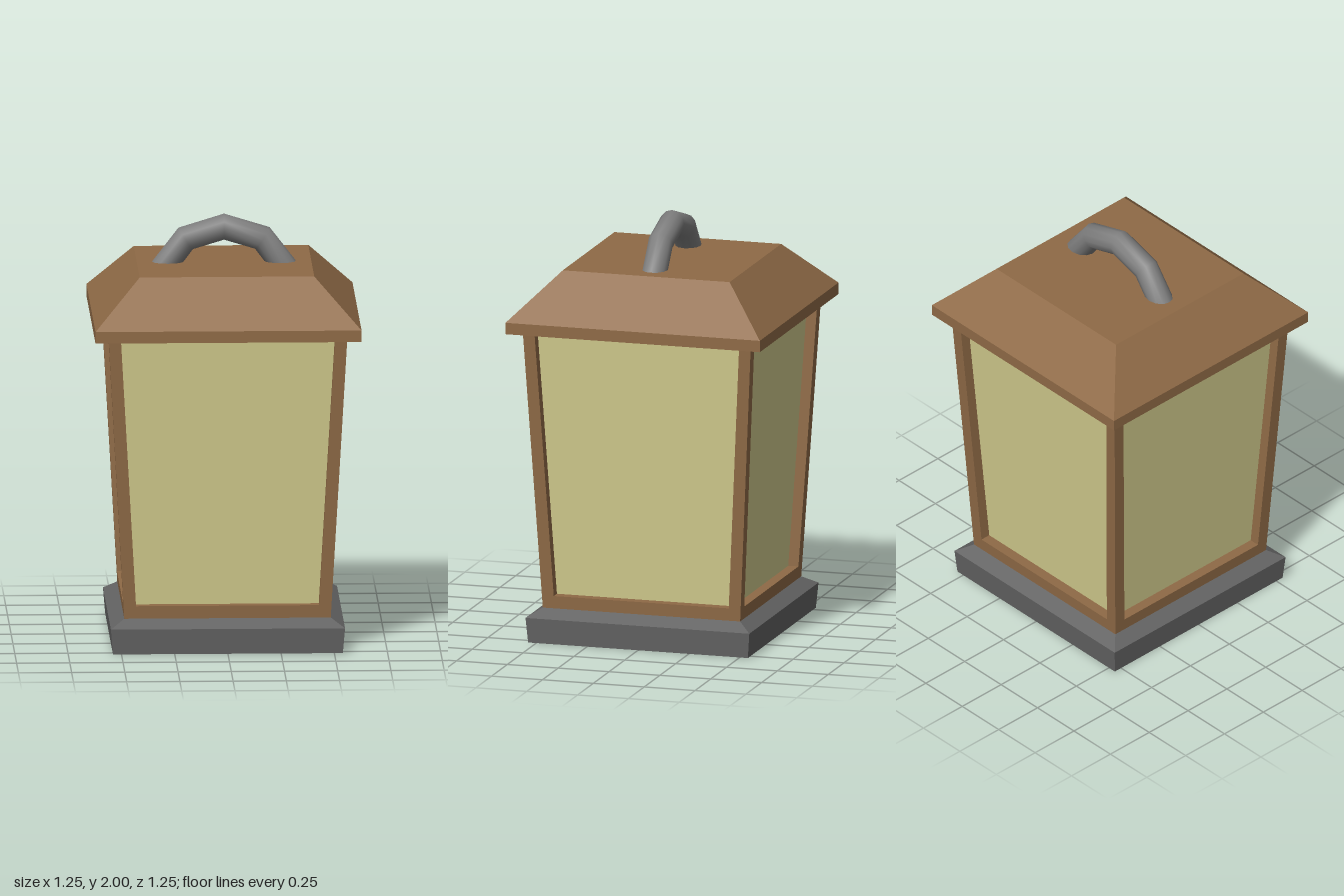
import * as THREE from 'three';
import { mergeVertices } from 'three/addons/utils/BufferGeometryUtils.js';

const mat = (name, color) => {
  const m = new THREE.MeshStandardMaterial({ color });
  m.name = name;
  return m;
};

const mesh = (name, geometry, material) => {
  const m = new THREE.Mesh(geometry, material);
  m.name = name;
  return m;
};

// Square solid with flat faces; profile is [half width, y] from the bottom up
function squareSolid(profile) {
  const points = profile.map(([w, y]) => new THREE.Vector2(w * Math.SQRT2, y));
  const g = new THREE.LatheGeometry(points, 4, Math.PI / 4).toNonIndexed();
  g.computeVertexNormals();
  return g;
}

// Flat-shaded quads, corners counter-clockwise
function quads(list) {
  const pos = list.flatMap(([a, b, c, d]) => [a, b, c, a, c, d].flat());
  const g = new THREE.BufferGeometry();
  g.setAttribute('position', new THREE.Float32BufferAttribute(pos, 3));
  g.computeVertexNormals();
  return g;
}

// Jointed round bar arching over the roof
function handleGeometry(radius) {
  // x, y, then the outward mitre direction at each joint
  const joints = [
    [-0.29, 1.74, -0.79, 0.61],
    [-0.18, 1.885, -0.57, 0.86],
    [0, 1.94, 0, 1.04],
    [0.18, 1.885, 0.57, 0.86],
    [0.29, 1.74, 0.79, 0.61],
  ];
  const g = new THREE.CylinderGeometry(radius, radius, 1, 12, 4, true);
  const p = g.attributes.position;
  for (let i = 0; i < p.count; i++) {
    const [x, y, nx, ny] = joints[Math.round((0.5 - p.getY(i)) * 4)];
    const out = p.getX(i);
    p.setXYZ(i, x + nx * out, y + ny * out, p.getZ(i));
  }
  g.deleteAttribute('uv');
  g.deleteAttribute('normal');
  const merged = mergeVertices(g);
  merged.computeVertexNormals();
  return merged;
}

export function createModel() {
  const wood = mat('brown wood', 0x8f6a46);
  const glass = mat('pale yellow glass', 0xd0ca8c);
  const stone = mat('dark grey base', 0x636363);
  const metal = mat('grey metal', 0x7e7e7e);

  const model = new THREE.Group();
  model.name = 'lantern';

  // Base plinth with bevelled top
  model.add(mesh('base', squareSolid([
    [0, 0], [0.54, 0], [0.55, 0.12], [0.485, 0.16], [0, 0.16],
  ]), stone));

  // Roof with a thin overhanging eave, hollow beneath
  model.add(mesh('roof', squareSolid([
    [0, 1.55], [0.615, 1.55], [0.615, 1.5], [0.625, 1.5],
    [0.625, 1.555], [0.41, 1.775], [0, 1.775],
  ]), wood));

  // Four flared sides: frame, recess walls and pane
  const wallAt = (y) => 0.485 + 0.075 * (y - 0.16) / 1.34;
  const loop = (y0, w0, y1, w1, inset) => [
    [-w0, y0, wallAt(y0) - inset], [w0, y0, wallAt(y0) - inset],
    [w1, y1, wallAt(y1) - inset], [-w1, y1, wallAt(y1) - inset],
  ];
  const outer = loop(0.16, wallAt(0.16), 1.55, wallAt(1.55), 0);
  const opening = loop(0.22, 0.43, 1.5, 0.503, 0);
  const recess = loop(0.22, 0.43, 1.5, 0.503, 0.05);
  const band = (a, b) => a.map((_, k) => {
    const n = (k + 1) % 4;
    return [a[k], a[n], b[n], b[k]];
  });
  const frameGeometry = quads([...band(outer, opening), ...band(opening, recess)]);
  const paneGeometry = quads([recess]);
  ['front', 'left', 'back', 'right'].forEach((name, k) => {
    const side = new THREE.Group();
    side.name = name + 'Side';
    side.add(mesh('frame', frameGeometry, wood), mesh('pane', paneGeometry, glass));
    side.rotation.y = k * Math.PI / 2;
    model.add(side);
  });

  // Carrying handle
  model.add(mesh('handle', handleGeometry(0.06), metal));

  return model;
}
